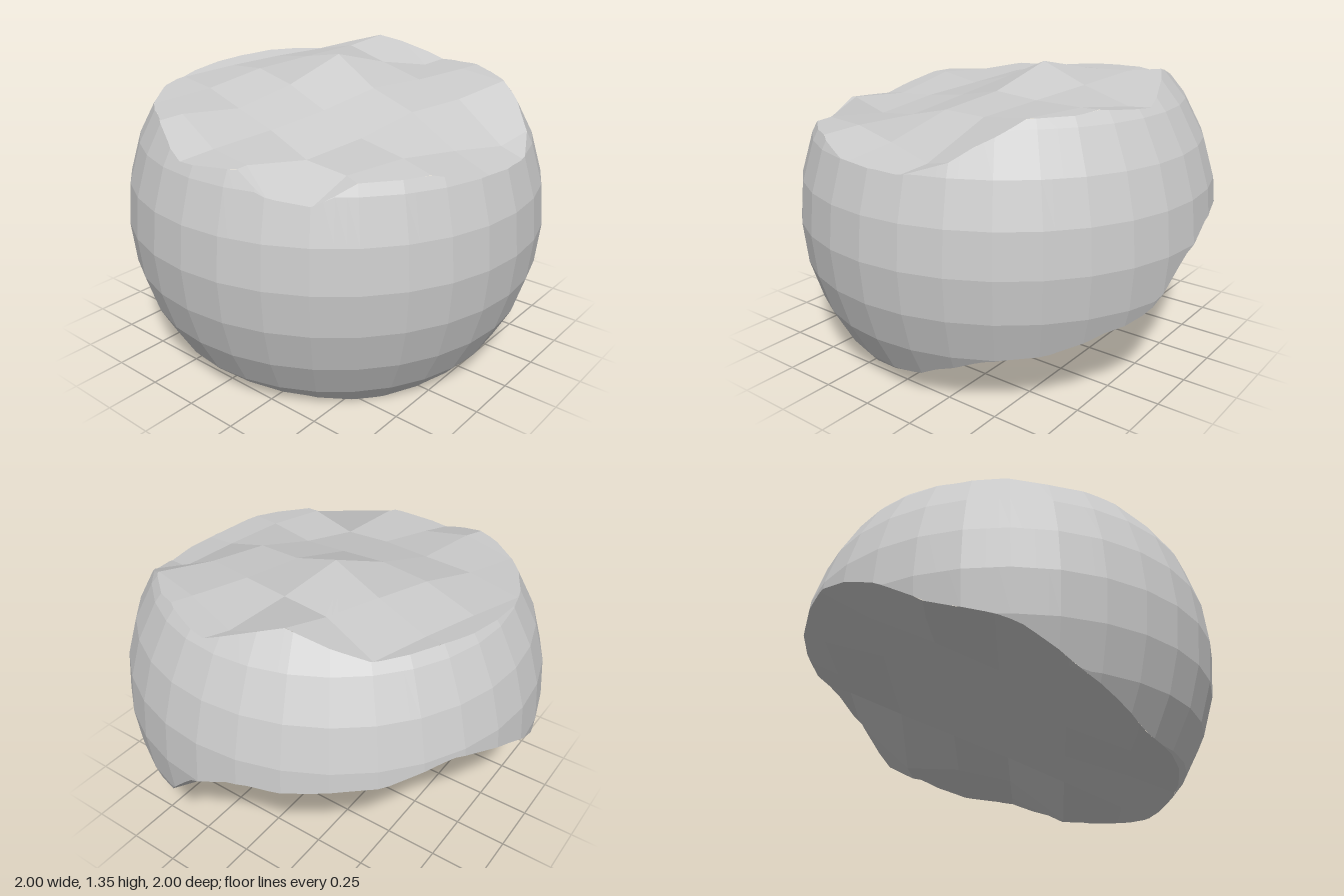
import * as THREE from 'three';

const CENTRE_Y = 0.667, SEGMENTS = 32, RINGS = 16, SUB = 4;
const STEP = 0.28, HALF = 5; // size and half-count of the rough grid cells

// Heights [x, z, y] that the two broken faces pass through
const TOP = [
  [-0.91, -0.05, 1.09], [-0.87, 0.2, 1.12], [-0.84, 0.42, 1.01], [-0.65, 0.62, 1.09], [-0.4, 0.8, 1.1],
  [-0.15, 0.91, 1.05], [0.15, 0.91, 1.04], [0.33, 0.83, 1.1], [0.45, 0.7, 1.19], [0.52, 0.6, 1.25],
  [0.65, 0.45, 1.26], [0.74, 0.27, 1.27], [0.79, 0, 1.27], [0.63, -0.36, 1.34], [0.57, -0.57, 1.26],
  [0.2, -0.78, 1.26], [-0.15, -0.82, 1.23], [-0.5, -0.67, 1.21], [-0.77, -0.35, 1.19], [0.14, -0.1, 1.36],
  [0.42, -0.03, 1.285], [0.07, 0.17, 1.25], [0, 0.44, 1.2], [0.265, 0.51, 1.215], [-0.275, 0.37, 1.13],
  [-0.545, 0.296, 1.09], [-0.2, 0.1, 1.19], [-0.13, -0.17, 1.25], [-0.4, -0.245, 1.18], [0.48, -0.3, 1.32],
  [0.21, -0.37, 1.3],
];
const BOTTOM = [
  [0.48, 0.78, 0.27], [0.7, 0.62, 0.31], [0.89, 0.37, 0.4], [0.96, 0.2, 0.47], [0.995, 0.08, 0.62],
  [0.99, -0.13, 0.725], [0.91, -0.4, 0.75], [0.72, -0.68, 0.78], [0.24, -0.96, 0.79], [0, -1, 0.69],
  [-0.28, -0.95, 0.54], [-0.6, -0.76, 0.42], [-0.71, -0.6, 0.3], [-0.8, -0.35, 0.18], [-0.82, -0.18, 0.12],
  [-0.83, 0, 0.1], [-0.72, 0.33, 0.065], [-0.53, 0.53, 0], [-0.42, 0.63, 0.02], [-0.3, 0.72, 0.06],
  [0, 0.77, 0.05], [0.2, 0.84, 0.17], [0, 0, 0.37], [0.4, 0, 0.5], [-0.4, 0, 0.24], [0, 0.4, 0.23], [0, -0.5, 0.54],
];

// Rough height surface: a tilted plane on a turned grid, bent towards the given points
function roughSurface(points, [c, sx, sz], origin, degrees, seed, noise) {
  const angle = THREE.MathUtils.degToRad(degrees);
  const U = [Math.cos(angle), Math.sin(angle)], V = [-U[1], U[0]];
  const rand = () => ((seed = (seed * 16807) % 2147483647) / 2147483647 - 0.5) * noise;
  const plane = (x, z) => c + sx * x + sz * z;
  const grid = [];
  for (let i = -HALF; i <= HALF; i++) {
    const row = [];
    for (let j = -HALF; j <= HALF; j++) {
      const x = origin[0] + STEP * (i * U[0] + j * V[0]);
      const z = origin[1] + STEP * (i * U[1] + j * V[1]);
      let sum = 0, total = 0;
      for (const [px, pz, py] of points) {
        const w = 1 / (((px - x) ** 2 + (pz - z) ** 2) ** 2 + 1e-4);
        sum += w * (py - plane(px, pz));
        total += w;
      }
      row.push(new THREE.Vector3(x, plane(x, z) + sum / total + rand(), z));
    }
    grid.push(row);
  }
  // Three grid corners around a place, with their weights
  const corners = (x, z) => {
    const dx = (x - origin[0]) / STEP, dz = (z - origin[1]) / STEP;
    const a = dx * U[0] + dz * U[1] + HALF, b = dx * V[0] + dz * V[1] + HALF;
    const i = THREE.MathUtils.clamp(Math.floor(a), 0, 2 * HALF - 1);
    const j = THREE.MathUtils.clamp(Math.floor(b), 0, 2 * HALF - 1);
    const f = a - i, g = b - j;
    const side = g > f ? grid[i][j + 1] : grid[i + 1][j];
    return [[grid[i][j], 1 - Math.max(f, g)], [side, Math.abs(g - f)], [grid[i + 1][j + 1], Math.min(f, g)]];
  };
  const height = (x, z) => corners(x, z).reduce((y, [v, w]) => y + v.y * w, 0);
  for (let n = 0; n < 10; n++) for (const [x, z, y] of points) {
    const near = corners(x, z), error = y - height(x, z);
    for (const [v, w] of near) v.y += 0.5 * error * w;
  }
  // Each cell is two triangles that share one flat normal
  const triangles = [];
  for (let i = 0; i < 2 * HALF; i++) for (let j = 0; j < 2 * HALF; j++) {
    const [a, b, d, e] = [grid[i][j], grid[i][j + 1], grid[i + 1][j + 1], grid[i + 1][j]];
    const normal = flatNormal([a, b, d, e]);
    triangles.push({ points: [a, b, d], normal }, { points: [a, d, e], normal });
  }
  return { height, triangles };
}

function flatNormal(p) {
  const last = p[p.length - 1], from = p.length > 3 ? p[1] : p[0];
  const across = p.length > 3 ? p[2] : p[1];
  return across.clone().sub(p[0]).cross(last.clone().sub(from)).normalize();
}

// Point on the faceted ball: column in sub-steps, s counted in rings from the top
function ballPoint(column, s) {
  const seg = Math.floor(column / SUB), t = column / SUB - seg;
  const a0 = (seg / SEGMENTS) * Math.PI * 2, a1 = ((seg + 1) / SEGMENTS) * Math.PI * 2;
  const dx = Math.sin(a0) * (1 - t) + Math.sin(a1) * t;
  const dz = Math.cos(a0) * (1 - t) + Math.cos(a1) * t;
  const k = Math.min(Math.floor(s), RINGS - 1), f = s - k;
  const t0 = (k / RINGS) * Math.PI, t1 = ((k + 1) / RINGS) * Math.PI;
  const r = Math.sin(t0) * (1 - f) + Math.sin(t1) * f;
  return new THREE.Vector3(dx * r, CENTRE_Y + Math.cos(t0) * (1 - f) + Math.cos(t1) * f, dz * r);
}

// Walk from a pole until the ball meets the rough surface
function findRim(column, surface, start, dir) {
  const cut = (s) => {
    const p = ballPoint(column, s);
    return (p.y - surface.height(p.x, p.z)) * dir < 0;
  };
  let s = start;
  while (s >= 0 && s <= RINGS && !cut(s)) s += dir * 0.1;
  let lo = s - dir * 0.1, hi = s;
  for (let n = 0; n < 20; n++) {
    const mid = (lo + hi) / 2;
    if (cut(mid)) hi = mid; else lo = mid;
  }
  return THREE.MathUtils.clamp(hi, 0, RINGS);
}

// Keep the part of a polygon on the inner side of edge a-b, seen from above
function clip(poly, a, b) {
  const side = (p) => (b.z - a.z) * (p.x - a.x) - (b.x - a.x) * (p.z - a.z);
  const out = [];
  poly.forEach((p, i) => {
    const q = poly[(i + 1) % poly.length], dp = side(p), dq = side(q);
    if (dp >= 0) out.push(p);
    if ((dp >= 0) !== (dq >= 0)) out.push(p.clone().lerp(q, dp / (dp - dq)));
  });
  return out;
}

function facetMesh(name, faces) {
  const positions = [], normals = [];
  for (const { points: f, normal } of faces) for (let i = 1; i < f.length - 1; i++) {
    for (const p of [f[0], f[i], f[i + 1]]) {
      positions.push(p.x, p.y, p.z);
      normals.push(normal.x, normal.y, normal.z);
    }
  }
  const geometry = new THREE.BufferGeometry();
  geometry.setAttribute('position', new THREE.Float32BufferAttribute(positions, 3));
  geometry.setAttribute('normal', new THREE.Float32BufferAttribute(normals, 3));
  const mesh = new THREE.Mesh(geometry, new THREE.MeshStandardMaterial({ color: 0xcccccc }));
  mesh.name = name;
  return mesh;
}

// Broken face: rough grid trimmed to the rim, one wedge at a time
function capFaces(surface, rim, down) {
  const centre = new THREE.Vector3(), faces = [];
  for (let j = 0; j < rim.length; j++) {
    const a = rim[j], b = rim[(j + 1) % rim.length];
    for (const { points, normal } of surface.triangles) {
      let poly = points;
      for (const [p, q] of [[centre, a], [a, b], [b, centre]]) poly = clip(poly, p, q);
      if (poly.length < 3) continue;
      faces.push(down ? { points: poly.slice().reverse(), normal: normal.clone().negate() } : { points: poly, normal });
    }
  }
  return faces;
}

export function createModel() {
  const group = new THREE.Group();
  group.name = 'brokenBall';
  const top = roughSurface(TOP, [1.2, 0.12, -0.1], [0.14, -0.1], 15, 11, 0.01);
  const bottom = roughSurface(BOTTOM, [0.37, 0.34, -0.36], [0, 0], -30, 29, 0.02);

  // Each column of the ball is trimmed between its two rims
  const columns = [];
  for (let c = 0; c < SEGMENTS * SUB; c++) {
    const s0 = findRim(c, top, 0, 1), s1 = findRim(c, bottom, RINGS, -1);
    const points = [];
    for (let k = 0; k <= RINGS; k++) points.push(ballPoint(c, THREE.MathUtils.clamp(k, s0, s1)));
    columns.push({ points, top: ballPoint(c, s0), bottom: ballPoint(c, s1) });
  }

  const sides = [];
  columns.forEach((col, c) => {
    const a = col.points, b = columns[(c + 1) % columns.length].points;
    for (let k = 0; k < RINGS; k++) {
      const corners = [a[k], a[k + 1], b[k + 1], b[k]];
      const points = corners.filter((p, i) => p.distanceTo(corners[(i + 1) % 4]) > 1e-5);
      if (points.length > 2) sides.push({ points, normal: flatNormal(points) });
    }
  });

  group.add(
    facetMesh('roundSide', sides),
    facetMesh('brokenTop', capFaces(top, columns.map((c) => c.top), false)),
    facetMesh('brokenUnderside', capFaces(bottom, columns.map((c) => c.bottom), true)),
  );
  return group;
}
